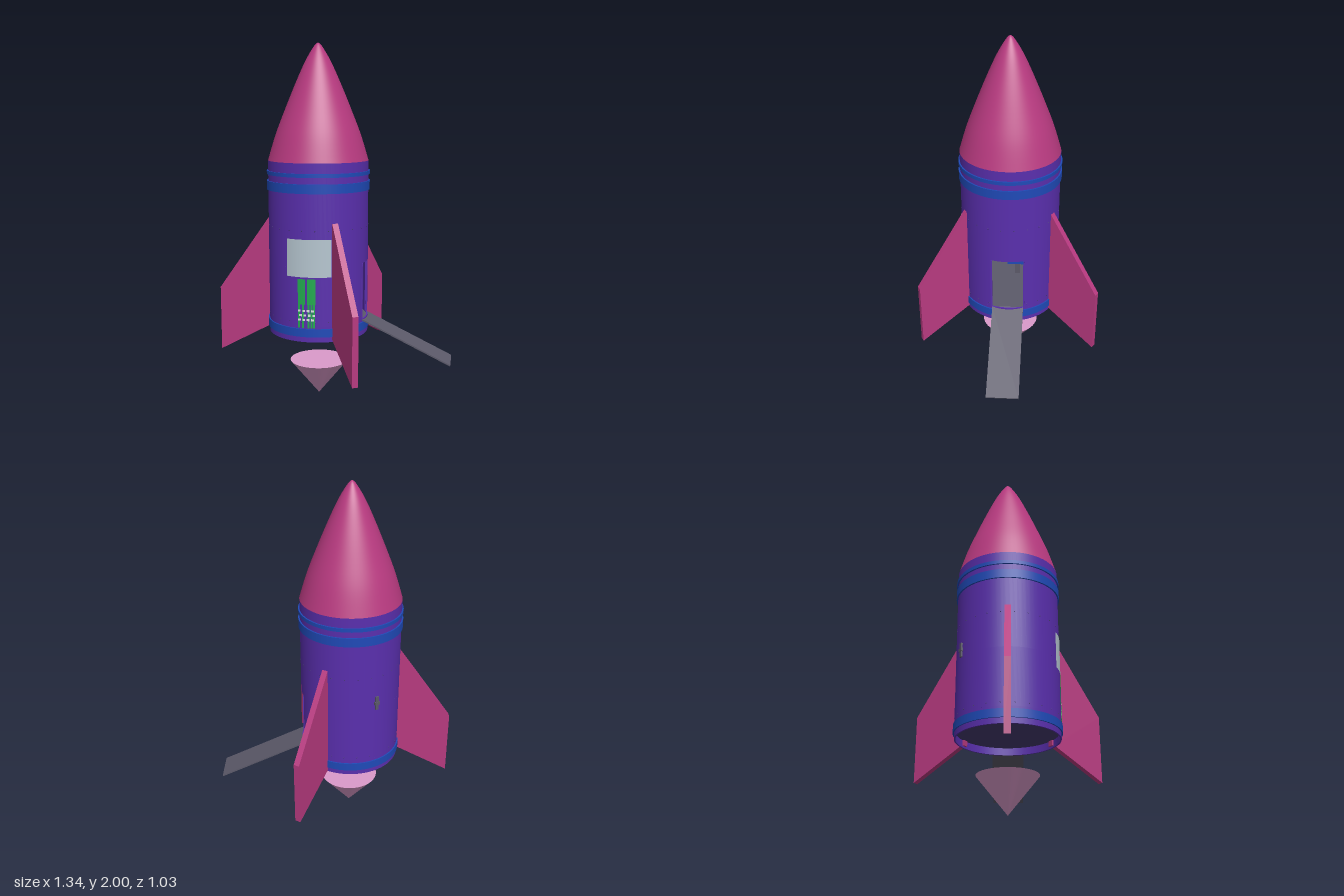
import * as THREE from 'three';

const AXIS = -0.09; // x of the hull axis
const R = 0.28; // hull radius

const paint = (name, color, side = THREE.FrontSide) => {
  const m = new THREE.MeshStandardMaterial({ color, side });
  m.name = name;
  return m;
};

export function createModel() {
  const magenta = paint('magenta', 0xb83a80);
  const purple = paint('purple', 0x5a2fae);
  const blue = paint('blue', 0x1f4ab8);
  const grey = paint('grey', 0x5c5a6a);
  const slate = paint('dark slate', 0x443a70);
  const glass = paint('pale glass', 0xb6c6d0, THREE.DoubleSide);
  const green = paint('green', 0x22ac50, THREE.DoubleSide);
  const white = paint('white', 0xe4ece8, THREE.DoubleSide);
  const pink = paint('pale pink', 0xdb9aca);

  const model = new THREE.Group();
  model.name = 'rocket';
  const rocket = new THREE.Group();
  rocket.name = 'rocketBody';
  rocket.position.x = AXIS;
  model.add(rocket);

  const add = (name, geometry, material, x = 0, y = 0, z = 0, parent = rocket) => {
    const mesh = new THREE.Mesh(geometry, material);
    mesh.name = name;
    mesh.position.set(x, y, z);
    parent.add(mesh);
    return mesh;
  };

  // Hollow ring with sharp corners, optionally only part of a turn
  const ring = (rIn, rOut, y0, y1, start = 0, length = Math.PI * 2) => {
    const corners = [[rOut, y0], [rOut, y1], [rIn, y1], [rIn, y0]];
    const pts = [new THREE.Vector2(rOut, y0)];
    for (let i = 1; i <= 4; i++) {
      const [r, y] = corners[i % 4];
      pts.push(new THREE.Vector2(r, y));
      if (i < 4) pts.push(new THREE.Vector2(r, y));
    }
    return new THREE.LatheGeometry(pts, 72, start, length);
  };

  // Thin plate that follows the front of the hull between two x offsets
  const panel = (name, material, r, x0, x1, y0, y1) => {
    const a = Math.asin(x0 / R), b = Math.asin(x1 / R);
    const segs = Math.max(1, Math.ceil((b - a) * 20));
    add(name, new THREE.CylinderGeometry(r, r, y1 - y0, segs, 1, true, a, b - a),
      material, 0, (y0 + y1) / 2, 0);
  };

  // Hull: skirt, doorway level and upper section
  const doorHalf = Math.asin(0.09 / R);
  add('hullSkirt', ring(0.272, R, 0.39, 0.48), purple);
  add('hullDoorLevel', ring(0.272, R, 0.48, 0.8,
    Math.PI / 2 + doorHalf, Math.PI * 2 - doorHalf * 2), purple);
  add('hullUpper', ring(0.272, R, 0.8, 1.36), purple);
  for (const s of [-1, 1]) {
    add('doorJamb', new THREE.BoxGeometry(0.014, 0.32, 0.008), purple, 0.261, 0.64, s * 0.092);
  }

  // Floor and underside
  add('floor', new THREE.CylinderGeometry(0.273, 0.273, 0.035, 64), grey, 0, 0.4575, 0);
  add('underside', new THREE.CylinderGeometry(0.273, 0.273, 0.01, 64), slate, 0, 0.435, 0);

  // Raised bands
  for (const [y0, y1, r] of [[0.42, 0.465, 0.287], [1.2, 1.25, 0.288], [1.285, 1.305, 0.288]]) {
    add('band', ring(0.275, r, y0, y1), blue);
  }

  // Nose cone
  const nose = new THREE.SplineCurve([
    [R, 1.36], [0.237, 1.5], [0.183, 1.64], [0.125, 1.78], [0.07, 1.9], [0.022, 1.98], [0, 2],
  ].map(([r, y]) => new THREE.Vector2(r, y)));
  const nosePoints = nose.getPoints(32);
  nosePoints.forEach((p) => { p.x = Math.max(0, p.x); });
  add('noseCone', new THREE.LatheGeometry(nosePoints, 72), magenta);
  add('noseBase', new THREE.CylinderGeometry(0.279, 0.279, 0.004, 64), magenta, 0, 1.358, 0);

  // Three fins, their roots reaching just through the hull wall
  const finShape = new THREE.Shape([
    [0.262, 0.4], [0.28, 0.4], [0.583, 0.237], [0.583, 0.61], [0.28, 1.04], [0.262, 1.04],
  ].map(([x, y]) => new THREE.Vector2(x, y)));
  const finGeometry = new THREE.ExtrudeGeometry(finShape, { depth: 0.033, bevelEnabled: false });
  finGeometry.translate(0, 0, -0.0165);
  for (const angle of [Math.PI, Math.PI / 3, -Math.PI / 3]) {
    add('fin', finGeometry, magenta).rotation.y = angle;
  }

  // Exhaust cone
  const exhaust = new THREE.ConeGeometry(0.165, 0.203, 48);
  exhaust.rotateX(Math.PI);
  add('exhaustCone', exhaust, pink, 0, 0.1015, 0);

  // Curved window, outside and inside faces
  panel('window', glass, 0.283, -0.12, 0.122, 0.75, 0.955);
  panel('windowInside', glass, 0.27, -0.12, 0.122, 0.75, 0.955);

  // Green painted strips, broken into thin bars lower down
  panel('greenStrip', green, 0.283, -0.058, -0.018, 0.6, 0.74);
  panel('greenStrip', green, 0.283, -0.006, 0.04, 0.6, 0.74);
  for (const x of [-0.058, -0.034, -0.004, 0.012, 0.026]) {
    panel('greenBar', green, 0.283, x, x + 0.011, 0.47, 0.6);
  }
  for (let row = 0; row < 3; row++) {
    for (let col = 0; col < 4; col++) {
      const x = -0.056 + col * 0.024 + (row % 2) * 0.006;
      const y = 0.51 + row * 0.025;
      panel('whiteDash', white, 0.285, x, x + 0.015, y, y + 0.012);
    }
  }

  // Boarding ramp sloping down from the doorway
  const top = new THREE.Vector2(0.172, 0.476), foot = new THREE.Vector2(0.667, 0.239);
  const ramp = add('ramp', new THREE.BoxGeometry(top.distanceTo(foot), 0.008, 0.178), grey,
    (top.x + foot.x) / 2, (top.y + foot.y) / 2, 0, model);
  ramp.rotation.z = Math.atan2(foot.y - top.y, foot.x - top.x);

  // Small table and shelf inside the cabin
  add('tableTop', new THREE.BoxGeometry(0.12, 0.025, 0.11), blue, -0.1, 0.585, -0.035);
  add('tableLeg', new THREE.BoxGeometry(0.03, 0.1, 0.03), grey, -0.1, 0.523, -0.04);
  add('shelf', new THREE.BoxGeometry(0.08, 0.01, 0.08), blue, -0.14, 0.625, -0.06);

  // Hatch handle on the rear, midway between two fins
  const rear = new THREE.Group();
  rear.name = 'rearHandle';
  rear.rotation.y = Math.PI * 7 / 6;
  rocket.add(rear);
  add('handlePlate', new THREE.BoxGeometry(0.018, 0.08, 0.012), grey, 0, 0.84, R + 0.003, rear);
  add('handleGrip', new THREE.BoxGeometry(0.03, 0.018, 0.016), grey, 0, 0.84, R + 0.004, rear);

  // Tiny rivets around the hull
  const rivet = new THREE.SphereGeometry(0.003, 6, 4);
  for (const y of [0.5, 1.0]) {
    for (let i = 0; i < 24; i++) {
      const a = (i + 0.5) / 24 * Math.PI * 2;
      if (y < 0.8 && Math.abs(a - Math.PI / 2) < doorHalf) continue;
      add('rivet', rivet, slate, Math.sin(a) * R, y, Math.cos(a) * R);
    }
  }

  return model;
}
